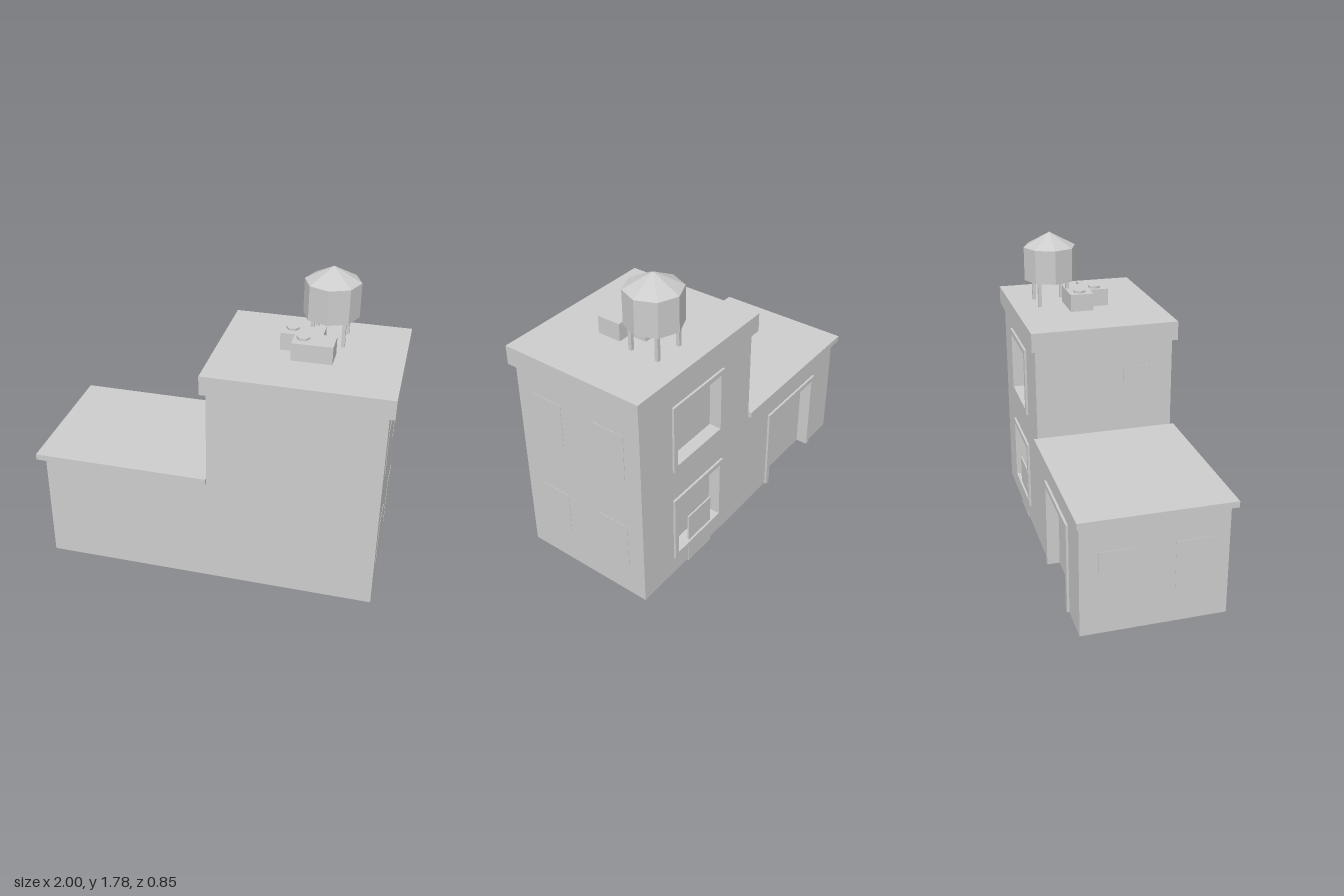
import * as THREE from 'three';

export function createModel() {
  const group = new THREE.Group();
  const grey = new THREE.MeshStandardMaterial({ color: 0xcccccc, flatShading: true });
  grey.name = 'plain grey';

  function add(name, geometry) {
    const mesh = new THREE.Mesh(geometry, grey);
    mesh.name = name;
    group.add(mesh);
    return mesh;
  }
  // Box given by its extents on each axis
  function box(name, x0, x1, y0, y1, z0, z1) {
    const mesh = add(name, new THREE.BoxGeometry(x1 - x0, y1 - y0, z1 - z0));
    mesh.position.set((x0 + x1) / 2, (y0 + y1) / 2, (z0 + z1) / 2);
    return mesh;
  }
  function polygon(points, Type = THREE.Shape) {
    return new Type(points.map(([x, y]) => new THREE.Vector2(x, y)));
  }
  function rectangle(x0, x1, y0, y1, Type) {
    return polygon([[x0, y0], [x1, y0], [x1, y1], [x0, y1]], Type);
  }
  function extrude(name, shape, z0, z1) {
    add(name, new THREE.ExtrudeGeometry(shape, { depth: z1 - z0, bevelEnabled: false })).position.z = z0;
  }

  const back = -0.403, pane = -0.343, rim = 0.03;
  const windows = [[0.275, 0.715, 0.75, 1.16], [0.275, 0.715, 0.13, 0.55]];
  const garage = [-0.73, -0.21, 0.02, 0.55];

  // Stepped body: a solid core and a back wall with recessed openings
  const upperOutline = [[0.97, 0.02], [0.97, 1.25], [0.01, 1.25], [0.01, 0.68], [-0.95, 0.68], [-0.95, 0.02]];
  extrude('buildingCore', polygon(upperOutline), pane, 0.403);
  const wall = polygon([
    ...upperOutline,
    [garage[0] + rim, 0.02], [garage[0] + rim, garage[3] - rim],
    [garage[1] - rim, garage[3] - rim], [garage[1] - rim, 0.02],
  ]);
  for (const [x0, x1, y0, y1] of windows) {
    wall.holes.push(rectangle(x0 + rim, x1 - rim, y0 + rim, y1 - rim, THREE.Path));
  }
  extrude('backWall', wall, back, pane);

  // Raised frames round the openings
  for (const [x0, x1, y0, y1] of windows) {
    const frame = rectangle(x0, x1, y0, y1);
    frame.holes.push(rectangle(x0 + rim, x1 - rim, y0 + rim, y1 - rim, THREE.Path));
    extrude('windowFrame', frame, -0.416, back);
  }
  const [g0, g1, gy0, gy1] = garage;
  extrude('garageFrame', polygon([
    [g0, gy0], [g0 + rim, gy0], [g0 + rim, gy1 - rim], [g1 - rim, gy1 - rim],
    [g1 - rim, gy0], [g1, gy0], [g1, gy1], [g0, gy1],
  ]), -0.416, back);

  // Thin door panel reaching down to the ground
  box('doorPanel', 0.375, 0.58, 0, 0.33, back - 0.001, back + 0.008);

  // Flat windows on the side walls
  const sidePane = (x, y, z) => box('sideWindow', x - 0.002, x + 0.002, y, y + 0.28, z - 0.095, z + 0.095);
  for (const z of [-0.205, 0.205]) {
    sidePane(0.97, 0.82, z);
    sidePane(0.97, 0.22, z);
    sidePane(-0.95, 0.22, z);
  }
  sidePane(0.01, 0.82, 0.205);

  // Roof slabs
  box('upperRoof', -0.02, 1, 1.245, 1.355, -0.427, 0.427);
  box('lowerRoof', -1, 0.01, 0.675, 0.71, -0.424, 0.424);

  // Rooftop units with six-sided fan caps
  box('roofUnit', 0.325, 0.555, 1.35, 1.457, -0.118, 0.02);
  box('roofUnit', 0.405, 0.63, 1.35, 1.457, -0.01, 0.13);
  for (const [x, z] of [[0.382, -0.052], [0.458, 0.058]]) {
    const fan = add('fanCap', new THREE.CylinderGeometry(0.037, 0.037, 0.015, 6));
    fan.rotation.y = Math.PI / 6;
    fan.position.set(x, 1.462, z);
  }

  // Eight-sided water tank on four legs
  const tx = 0.566, tz = -0.187;
  add('tankBody', new THREE.CylinderGeometry(0.156, 0.156, 0.198, 8)).position.set(tx, 1.601, tz);
  add('tankRoof', new THREE.ConeGeometry(0.156, 0.085, 8)).position.set(tx, 1.7425, tz);
  for (const sx of [-1, 1]) {
    for (const sz of [-1, 1]) {
      const x = tx + sx * 0.086, z = tz + sz * 0.084;
      box('tankLeg', x - 0.01, x + 0.01, 1.35, 1.51, z - 0.01, z + 0.01);
    }
  }
  return group;
}
